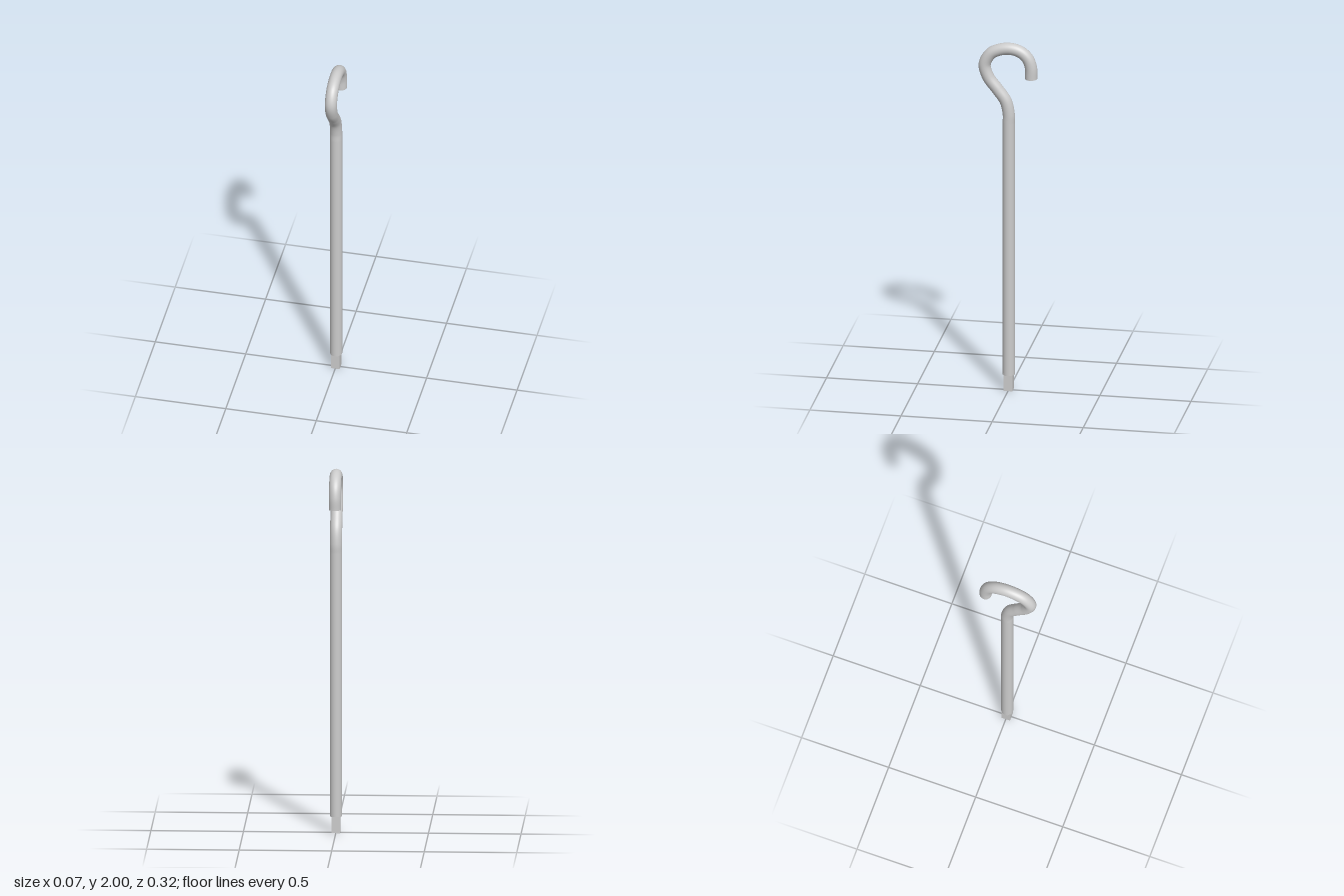
import * as THREE from 'three';

const RADIUS = 0.033;
const SIDES = 32;
const PEG_TOP = 0.09;
const HOOK_START = 1.5;

export function createModel() {
  const model = new THREE.Group();
  model.name = 'hookedRod';
  const material = new THREE.MeshStandardMaterial({ color: 0xcccccc });

  const add = (name, geometry) => {
    const mesh = new THREE.Mesh(geometry, material);
    mesh.name = name;
    model.add(mesh);
    return mesh;
  };

  // Square peg at the foot
  add('squarePeg', new THREE.BoxGeometry(0.048, PEG_TOP + 0.01, 0.048))
    .position.y = (PEG_TOP + 0.01) / 2;

  // Straight round shaft
  const length = HOOK_START - PEG_TOP;
  add('shaft', new THREE.CylinderGeometry(RADIUS, RADIUS, length, SIDES))
    .position.y = PEG_TOP + length / 2;

  // Hook: centre line as [z, y], swinging forward and curling over to the back
  const path = new THREE.CatmullRomCurve3([
    [0, HOOK_START], [0, 1.54], [0, 1.59], [0.017, 1.665], [0.062, 1.73],
    [0.112, 1.797], [0.132, 1.87], [0.1, 1.932], [0.05, 1.959], [-0.01, 1.967],
    [-0.065, 1.952], [-0.104, 1.916], [-0.122, 1.865], [-0.124, 1.802],
  ].map(([z, y]) => new THREE.Vector3(0, y, z)));
  add('hook', new THREE.TubeGeometry(path, 120, RADIUS, SIDES));

  // Flat cap closing the tip of the hook
  const cap = add('hookTip', new THREE.CircleGeometry(RADIUS, SIDES));
  cap.position.copy(path.getPointAt(1));
  cap.quaternion.setFromUnitVectors(new THREE.Vector3(0, 0, 1), path.getTangentAt(1));

  return model;
}
